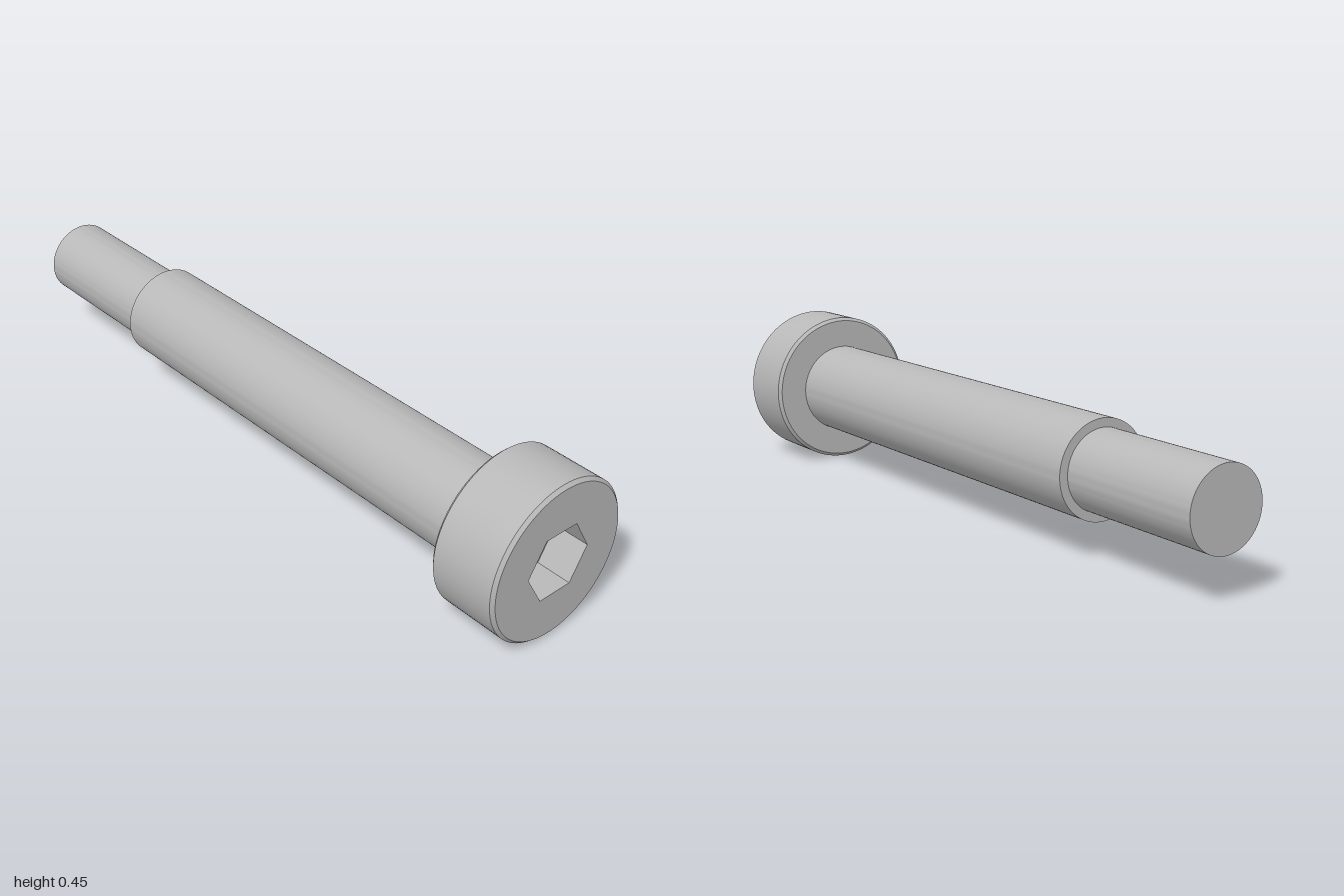
import * as THREE from 'three';
import { toCreasedNormals } from 'three/addons/utils/BufferGeometryUtils.js';

const SEGMENTS = 96;
const HEAD_R = 0.224, SHOULDER_R = 0.133, END_R = 0.109, CHAMFER = 0.009;
const HEX_R = 0.104, SOCKET_DEPTH = 0.1;
const FRONT_Z = 1, HEAD_Z = 0.8, STEP_Z = -0.55, BACK_Z = -1;

// Turned surface along z; profile points are [radius, z] from back to front
function turned(profile) {
  const points = profile.map(([r, z]) => new THREE.Vector2(r, z));
  const geometry = new THREE.LatheGeometry(points, SEGMENTS).rotateX(Math.PI / 2);
  return toCreasedNormals(geometry, 0.5);
}

export function createModel() {
  const model = new THREE.Group();
  model.name = 'shoulderBolt';
  const steel = new THREE.MeshStandardMaterial({ color: 0xb8b8b8 });
  steel.name = 'steelGrey';

  const add = (name, geometry) => {
    const mesh = new THREE.Mesh(geometry, steel);
    mesh.name = name;
    mesh.position.y = HEAD_R;
    model.add(mesh);
  };

  // Narrow end with its closing disc
  add('narrowEnd', turned([[0, BACK_Z], [END_R, BACK_Z], [END_R, STEP_Z]]));

  // Shoulder with the ring at the step
  add('shoulder', turned([[END_R, STEP_Z], [SHOULDER_R, STEP_Z], [SHOULDER_R, HEAD_Z]]));

  // Head underside and wall, chamfered at both rims
  add('head', turned([
    [SHOULDER_R, HEAD_Z], [HEAD_R - CHAMFER, HEAD_Z], [HEAD_R, HEAD_Z + CHAMFER],
    [HEAD_R, FRONT_Z - CHAMFER], [HEAD_R - CHAMFER, FRONT_Z],
  ]));

  // Head face with the hexagonal opening
  const face = new THREE.Shape().absarc(0, 0, HEAD_R - CHAMFER, 0, Math.PI * 2, false);
  const corners = Array.from({ length: 6 }, (_, i) => {
    const a = -i * Math.PI / 3;
    return new THREE.Vector2(HEX_R * Math.cos(a), HEX_R * Math.sin(a));
  });
  face.holes.push(new THREE.Path(corners));
  add('headFace', new THREE.ShapeGeometry(face, SEGMENTS).translate(0, 0, FRONT_Z));

  // Socket walls, mirrored so they face inward
  const walls = new THREE.CylinderGeometry(HEX_R, HEX_R, SOCKET_DEPTH, 6, 1, true, Math.PI / 2)
    .rotateX(Math.PI / 2)
    .scale(-1, 1, 1)
    .translate(0, 0, FRONT_Z - SOCKET_DEPTH / 2)
    .toNonIndexed();
  walls.computeVertexNormals();
  add('socketWalls', walls);

  // Socket floor
  add('socketFloor', new THREE.CircleGeometry(HEX_R, 6).translate(0, 0, FRONT_Z - SOCKET_DEPTH));

  return model;
}
